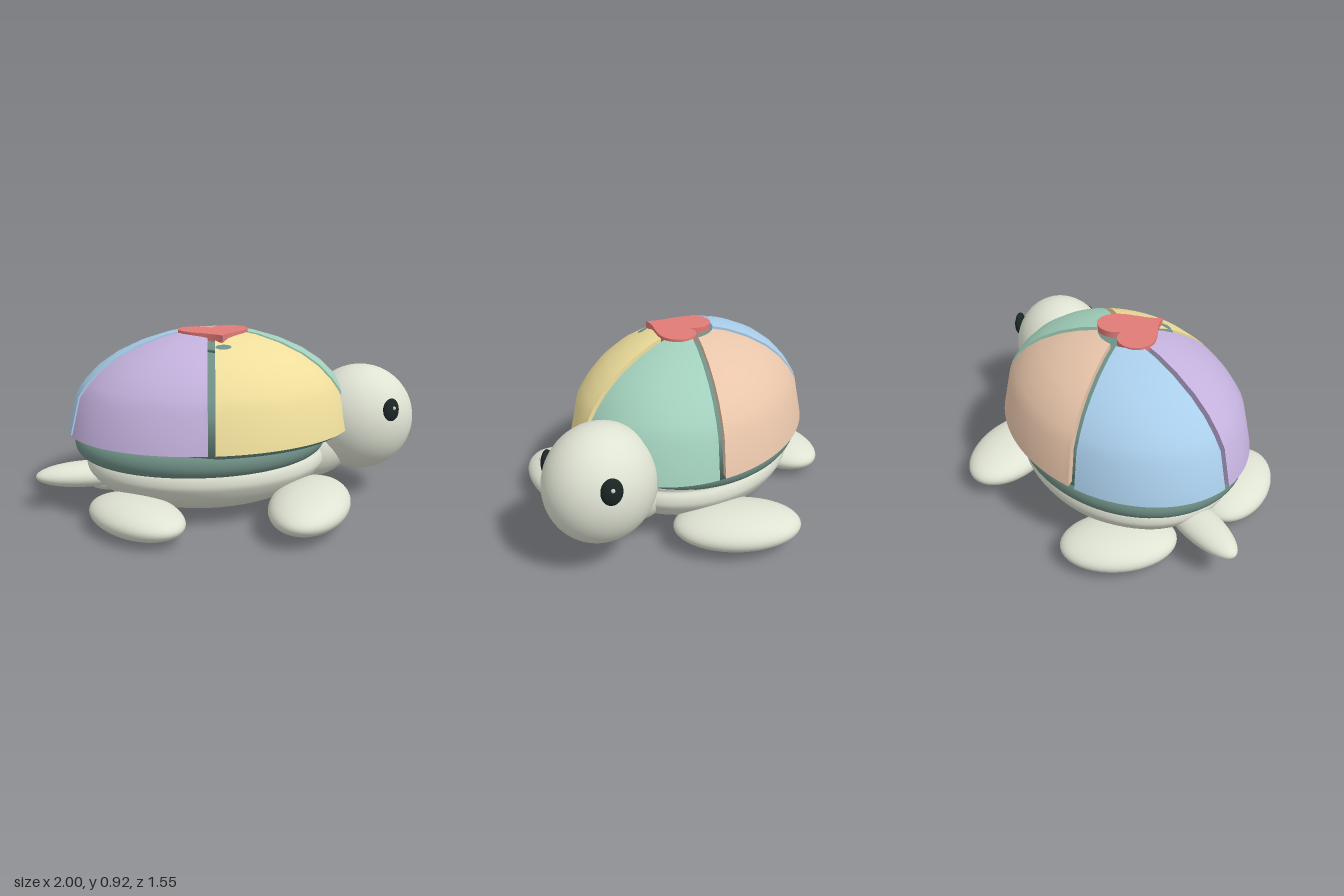
import * as THREE from 'three';
import { toCreasedNormals } from 'three/addons/utils/BufferGeometryUtils.js';

const V2 = (p) => new THREE.Vector2(p[0], p[1]);
const COLORS = {
  skin: 0xdfe3d3, under: 0x6f9086, eye: 0x1b2624, white: 0xffffff, heart: 0xe07b78,
};
// Shell outline: relative radius and height
const DOME = [[1, 0.42], [0.935, 0.615], [0.87, 0.68], [0.78, 0.745], [0.66, 0.805],
  [0.5, 0.86], [0.33, 0.9], [0.2, 0.917]];
const SHELL = { x: -0.075, z: -0.043, rx: 0.745, rz: 0.575 };

export function createModel() {
  const group = new THREE.Group();
  const mats = {};
  const mat = (color) => (mats[color] ??= new THREE.MeshStandardMaterial({ color }));

  function add(name, geometry, color, pos = [0, 0, 0], parent = group) {
    const mesh = new THREE.Mesh(geometry, mat(color));
    mesh.name = name;
    mesh.position.set(...pos);
    parent.add(mesh);
    return mesh;
  }
  function ellipsoid(name, color, pos, radii, rotY = 0, rotZ = 0) {
    const mesh = add(name, new THREE.SphereGeometry(1, 48, 32), color, pos);
    mesh.scale.set(...radii);
    mesh.rotation.set(0, rotY, rotZ, 'YZX');
    return mesh;
  }
  // Turned profile with an oval footprint
  function ovalLathe(name, color, points, x, z, rx, rz) {
    const mesh = add(name, new THREE.LatheGeometry(points, 72), color, [x, 0, z]);
    mesh.scale.set(rx, 1, rz);
    return mesh;
  }

  // Body: a shallow bowl
  const bowl = new THREE.SplineCurve([[0, 0.02], [0.35, 0.03], [0.65, 0.068], [0.87, 0.135],
    [0.98, 0.21], [1, 0.255], [0.97, 0.3], [0.88, 0.34], [0, 0.36]].map(V2)).getPoints(40);
  bowl.forEach((p) => { p.x = Math.max(p.x, 0); });
  ovalLathe('body', COLORS.skin, bowl, -0.1, -0.045, 0.635, 0.505);

  // Rounded rim under the shell
  const rim = [new THREE.Vector2(0, 0.29)];
  for (let i = 0; i <= 16; i++) {
    const a = -Math.PI / 2 + (Math.PI * i) / 16;
    rim.push(new THREE.Vector2(0.89 + 0.11 * Math.cos(a), 0.36 + 0.07 * Math.sin(a)));
  }
  rim.push(new THREE.Vector2(0, 0.43));
  ovalLathe('shellRim', COLORS.under, rim, -0.13, -0.04, 0.66, 0.545);

  // Inner dome seen through the gaps
  const inner = DOME.map(([r, y]) => new THREE.Vector2(r * 0.945, y - 0.025));
  inner.unshift(new THREE.Vector2(0, 0.395));
  inner.push(new THREE.Vector2(0, 0.895));
  ovalLathe('innerShell', COLORS.under, inner, SHELL.x, SHELL.z, SHELL.rx, SHELL.rz);
  ellipsoid('shellCap', COLORS.under, [-0.07, 0.858, 0.035], [0.14, 0.035, 0.205]);

  // Five shell panels
  const panelColors = [0xeedd9b, 0xc3b1dc, 0xa9cdea, 0xe8c5aa, 0xa2d0bc];
  panelColors.forEach((color, i) => {
    const start = THREE.MathUtils.degToRad(27 + 72 * i);
    add('shellPanel', panelGeometry(start, start + Math.PI * 0.4), color);
  });

  // Heart on top, point towards +z
  const heart = new THREE.Shape();
  heart.moveTo(0, -0.185);
  heart.bezierCurveTo(0.04, -0.1, 0.18, -0.06, 0.18, 0.04);
  heart.bezierCurveTo(0.18, 0.15, 0.025, 0.16, 0, 0.06);
  heart.bezierCurveTo(-0.025, 0.16, -0.18, 0.15, -0.18, 0.04);
  heart.bezierCurveTo(-0.18, -0.06, -0.04, -0.1, 0, -0.185);
  const heartMesh = add('heart', new THREE.ExtrudeGeometry(heart,
    { depth: 0.036, bevelEnabled: false, curveSegments: 20 }), COLORS.heart, [-0.07, 0.888, 0.012]);
  heartMesh.rotation.x = -Math.PI / 2;

  // Head, neck and tail
  ellipsoid('head', COLORS.skin, [0.718, 0.433, 0.048], [0.282, 0.283, 0.257], -0.2);
  ellipsoid('neck', COLORS.skin, [0.5, 0.26, 0.02], [0.22, 0.14, 0.16], -0.2, 0.5);
  ellipsoid('tail', COLORS.skin, [-0.73, 0.185, -0.045], [0.27, 0.065, 0.1]);

  // Eyes with highlights, facing away from the head
  [['leftEye', 0.912, 0.53, -0.122, 0.73], ['rightEye', 0.795, 0.515, 0.278, -1.25]].forEach(([name, x, y, z, turn]) => {
    ellipsoid(name, COLORS.eye, [x, y, z], [0.026, 0.066, 0.05], turn);
    const out = 0.024;
    ellipsoid('eyeHighlight', COLORS.white,
      [x + out * Math.cos(turn), y + 0.02, z - out * Math.sin(turn)], [0.009, 0.01, 0.01]);
  });

  // Flippers: centre, radii, turn about y
  [['frontFlipper', [0.31, 0.12, 0.465], [0.194, 0.097, 0.34], -0.52],
    ['frontFlipper', [0.345, 0.12, -0.49], [0.193, 0.095, 0.312], 0.49],
    ['backFlipper', [-0.53, 0.092, 0.36], [0.181, 0.088, 0.292], 0.57],
    ['backFlipper', [-0.545, 0.092, -0.38], [0.188, 0.088, 0.285], -0.45],
  ].forEach(([name, pos, radii, turn]) => ellipsoid(name, COLORS.skin, pos, radii, turn));

  return group;
}

// Thick dome sector: a closed outline swept round an oval, inset for the gaps
function panelGeometry(from, to) {
  const outline = [...DOME,
    ...DOME.map(([r, y], i) => [r * 0.94, i ? y - 0.035 : y]).reverse()];
  const n = outline.length, steps = 24, pos = [], index = [];
  for (let i = 0; i <= steps; i++) {
    outline.forEach(([r, y]) => {
      const inset = 0.016 / (0.66 * r);
      const a = THREE.MathUtils.lerp(from + inset, to - inset, i / steps);
      pos.push(SHELL.x + SHELL.rx * r * Math.cos(a), y, SHELL.z + SHELL.rz * r * Math.sin(a));
    });
  }
  for (let i = 0; i < steps; i++) {
    for (let j = 0; j < n; j++) {
      const a = i * n + j, b = i * n + ((j + 1) % n);
      index.push(a, b, a + n, b, b + n, a + n);
    }
  }
  for (const [a, b, c] of THREE.ShapeUtils.triangulateShape(outline.map(V2), [])) {
    index.push(a, c, b, steps * n + a, steps * n + b, steps * n + c);
  }
  const geometry = new THREE.BufferGeometry();
  geometry.setAttribute('position', new THREE.Float32BufferAttribute(pos, 3));
  geometry.setIndex(index);
  return toCreasedNormals(geometry, 0.7);
}
